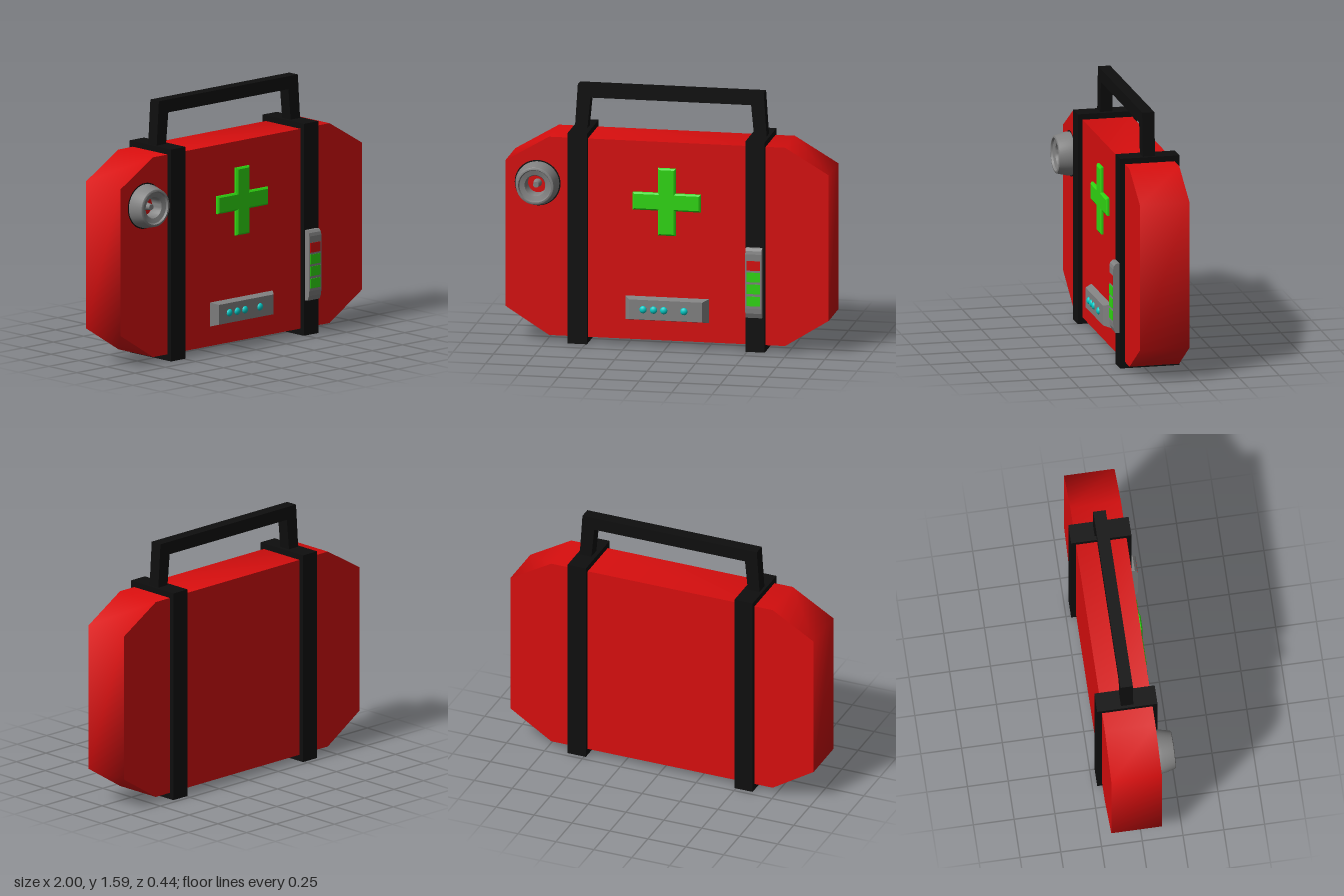
import * as THREE from 'three';
import { toCreasedNormals } from 'three/addons/utils/BufferGeometryUtils.js';

const paint = (name, color) => {
  const m = new THREE.MeshStandardMaterial({ color });
  m.name = name;
  return m;
};

const shapeOf = (pts) => new THREE.Shape(pts.map(([x, y]) => new THREE.Vector2(x, y)));

// Outline in x,y pushed from z0 to z1
function slab(pts, z0, z1, options = {}) {
  const geo = new THREE.ExtrudeGeometry(shapeOf(pts), { depth: z1 - z0, bevelEnabled: false, ...options });
  return geo.translate(0, 0, z0);
}

export function createModel() {
  const red = paint('case red', 0xd80e0e);
  const black = paint('strap black', 0x0e0e0e);
  const grey = paint('fitting grey', 0x828282);
  const green = paint('signal green', 0x30d812);
  const cyan = paint('lamp cyan', 0x00ccc8);

  const group = new THREE.Group();
  const add = (name, geo, mat, x = 0, y = 0, z = 0) => {
    const mesh = new THREE.Mesh(geo, mat);
    mesh.name = name;
    mesh.position.set(x, y, z);
    group.add(mesh);
    return mesh;
  };

  // Case: octagonal block with a softly shaded rim
  const outline = [[-0.73, 0.04], [0.73, 0.04], [1, 0.21], [1, 1.12], [0.73, 1.28], [-0.73, 1.28], [-1, 1.12], [-1, 0.21]];
  add('case', toCreasedNormals(slab(outline, -0.19, 0.12), 1.2), red);

  // Straps
  for (const s of [-1, 1]) {
    add(s > 0 ? 'leftStrap' : 'rightStrap', new THREE.BoxGeometry(0.12, 1.315, 0.37), black, s * 0.55, 0.6575, -0.035);
  }

  // Handle
  add('handle', slab([
    [-0.594, 1.3], [-0.517, 1.3], [-0.497, 1.507], [0.497, 1.507],
    [0.517, 1.3], [0.594, 1.3], [0.575, 1.587], [-0.575, 1.587],
  ], -0.072, 0.004), black);

  // Cross with a small bevel
  const w = 0.045, l = 0.2;
  const cross = [[-w, -l], [w, -l], [w, -w], [l, -w], [l, w], [w, w], [w, l], [-w, l], [-w, w], [-l, w], [-l, -w], [-w, -w]];
  add('cross', slab(cross, 0, 0.015, {
    bevelEnabled: true, bevelThickness: 0.008, bevelSize: 0.01, bevelSegments: 1,
  }), green, 0, 0.908, 0.118);

  // Dial: tapered ring with a stepped face, dark seam and centre pin
  const ring = [[0.134, 0], [0.134, 0.025], [0.116, 0.096], [0.11, 0.1], [0.102, 0.1], [0.096, 0.088], [0.066, 0.08], [0.06, 0.07], [0.06, 0]]
    .map(([r, h]) => new THREE.Vector2(r, h));
  const dial = toCreasedNormals(new THREE.LatheGeometry(ring, 40), 0.7).rotateX(Math.PI / 2);
  add('dialRing', dial, grey, -0.8, 0.99, 0.12);
  add('dialSeam', new THREE.RingGeometry(0.12, 0.142, 40), black, -0.8, 0.99, 0.123);
  add('dialPin', new THREE.CylinderGeometry(0.018, 0.026, 0.06, 16).rotateX(Math.PI / 2), grey, -0.8, 0.99, 0.15);

  // Lamp panel: box whose front face is drawn in
  const panel = new THREE.BoxGeometry(0.52, 0.15, 0.047);
  const p = panel.attributes.position;
  for (let i = 0; i < p.count; i++) {
    if (p.getZ(i) > 0) p.setXY(i, p.getX(i) * 0.87, p.getY(i) * 0.82);
  }
  panel.computeVertexNormals();
  add('lampPanel', panel, grey, 0, 0.236, 0.1415);
  for (const x of [-0.14, -0.075, -0.012, 0.113]) {
    add('lamp', new THREE.SphereGeometry(0.023, 20, 12).scale(1, 1, 0.7), cyan, x, 0.237, 0.163);
  }

  // Level gauge: side profile with rounded ends, swept across the strap
  const side = [[-0.14, 0.22], [-0.175, 0.22], [-0.188, 0.25], [-0.19, 0.28], [-0.19, 0.62], [-0.186, 0.64], [-0.172, 0.655], [-0.14, 0.655]];
  add('gauge', slab(side, -0.05, 0.05).rotateY(Math.PI / 2), grey, 0.547);
  [0.327, 0.403, 0.477, 0.549].forEach((y, i) => {
    add('gaugeCell', new THREE.BoxGeometry(0.084, 0.06, 0.006), i === 3 ? red : green, 0.547, y, 0.19);
  });

  return group;
}
